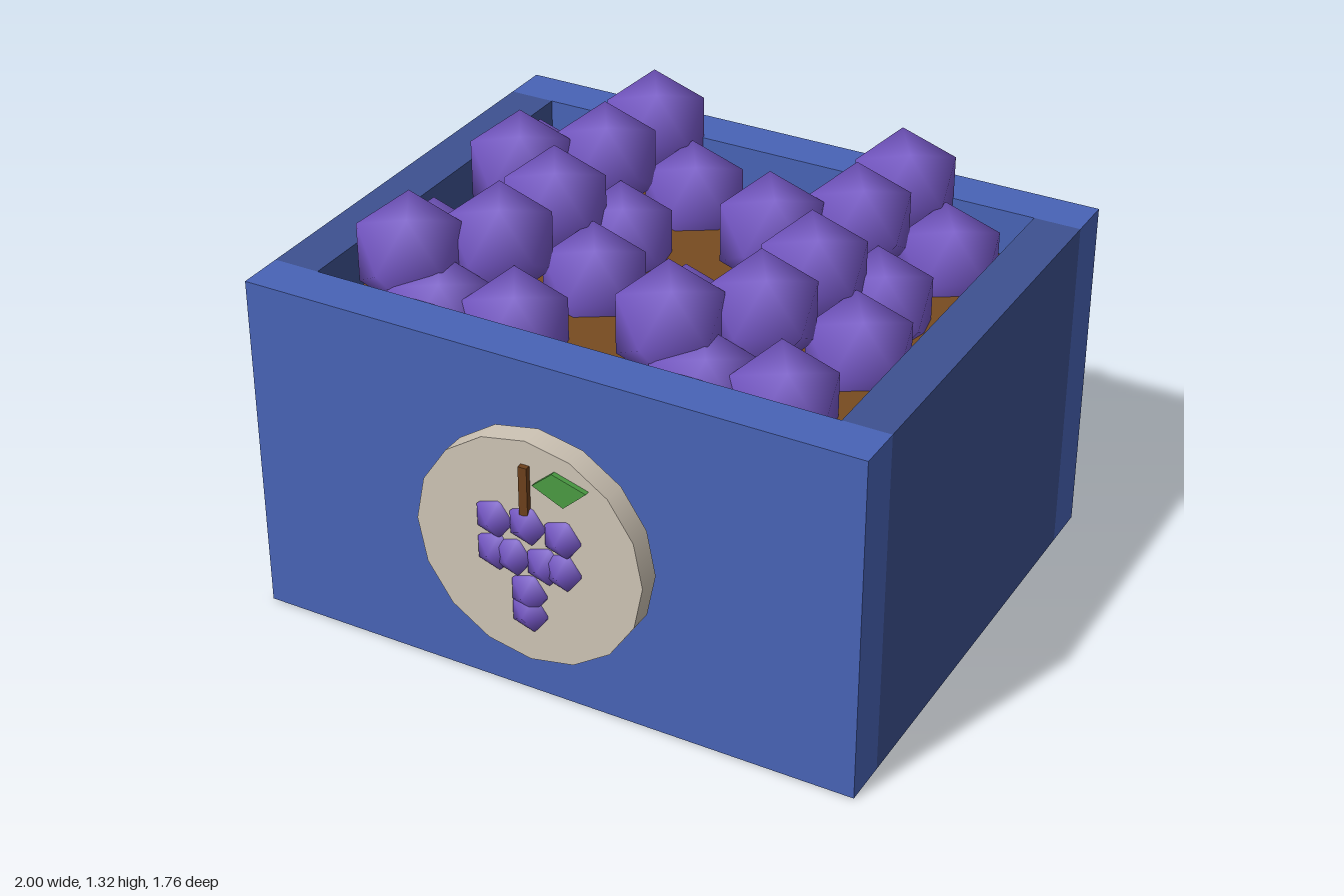
import * as THREE from 'three';

export function createModel() {
  const mat = (name, color, extra = {}) => Object.assign(new THREE.MeshStandardMaterial({ color, ...extra }), { name });
  const blue = mat('crate blue', 0x4863b6);
  const darkBlue = mat('dark crate blue', 0x3d5190);
  const brown = mat('base brown', 0x774b20);
  const stemBrown = mat('stem brown', 0x6c401c);
  const purple = mat('grape purple', 0x7456c4);
  const cream = mat('badge cream', 0xcec4b5);
  const green = mat('leaf green', 0x4a9a42);

  const model = new THREE.Group();
  model.name = 'grapeCrate';
  const add = (parent, name, geometry, material, x, y, z) => {
    const mesh = new THREE.Mesh(geometry, material);
    mesh.name = name;
    mesh.position.set(x, y, z);
    parent.add(mesh);
    return mesh;
  };
  const box = (parent, name, material, x0, x1, y0, y1, z0, z1) =>
    add(parent, name, new THREE.BoxGeometry(x1 - x0, y1 - y0, z1 - z0), material,
      (x0 + x1) / 2, (y0 + y1) / 2, (z0 + z1) / 2);

  // Crate walls: long front and back boards, darker side boards between them
  box(model, 'frontWall', blue, -1, 1, 0.004, 1.13, 0.595, 0.745);
  box(model, 'backWall', blue, -1, 1, 0.004, 1.13, -0.88, -0.73);
  for (const s of [-1, 1]) {
    box(model, s > 0 ? 'leftWall' : 'rightWall', darkBlue,
      s > 0 ? 0.85 : -1, s > 0 ? 1 : -0.85, 0.004, 1.13, -0.73, 0.595);
  }
  // Solid filling that carries the fruit, with its underside showing below
  box(model, 'filling', brown, -0.86, 0.86, 0.01, 0.98, -0.74, 0.605);
  box(model, 'baseBoard', brown, -0.995, 0.995, 0, 0.02, -0.875, 0.74);

  // Smooth-shaded icosahedron with a corner pointing to +z
  const grape = new THREE.IcosahedronGeometry(1, 0);
  grape.rotateX(Math.atan(2 / (1 + Math.sqrt(5))));
  grape.rotateZ(Math.PI / 2);
  grape.setAttribute('normal', grape.attributes.position.clone());

  // One bunch, repeated in a two by two pattern
  const bunch = [
    [-0.42, 1.17, -0.66], [-0.44, 1.17, -0.38], [-0.64, 1.17, -0.2],
    [-0.21, 1.025, -0.53], [-0.71, 1.025, -0.43], [-0.27, 1.025, -0.18], [-0.5, 1.025, -0.14],
  ];
  for (const dx of [0, 0.87]) {
    for (const dz of [0, 0.62]) {
      const group = new THREE.Group();
      group.name = 'grapeBunch';
      group.position.set(dx, 0, dz);
      model.add(group);
      for (const [x, y, z] of bunch) add(group, 'grape', grape, purple, x, y, z).scale.setScalar(0.18);
    }
  }

  // Round badge on the front
  const badge = new THREE.Group();
  badge.name = 'badge';
  model.add(badge);
  const disc = new THREE.CylinderGeometry(0.373, 0.373, 0.075, 16);
  disc.rotateX(Math.PI / 2);
  add(badge, 'badgeDisc', disc, cream, 0, 0.565, 0.8);

  // Small grapes on the badge
  const small = [
    [-0.11, 0.65], [0, 0.66], [0.115, 0.65],
    [-0.11, 0.54], [-0.05, 0.54], [0.055, 0.54], [0.115, 0.54],
    [0, 0.43], [0, 0.36],
  ];
  for (const [x, y] of small) add(badge, 'badgeGrape', grape, purple, x, y, 0.818).scale.set(0.07, 0.07, 0.063);

  // Stem and leaf
  box(badge, 'stem', stemBrown, -0.014, 0.014, 0.7, 0.86, 0.83, 0.855);
  const leaf = new THREE.Shape([[0.03, 0.81], [0.13, 0.765], [0.205, 0.835], [0.095, 0.867]]
    .map(([x, y]) => new THREE.Vector2(x, y)));
  add(badge, 'leaf', new THREE.ExtrudeGeometry(leaf, { depth: 0.016, bevelEnabled: false }), green, 0, 0, 0.838);

  return model;
}
